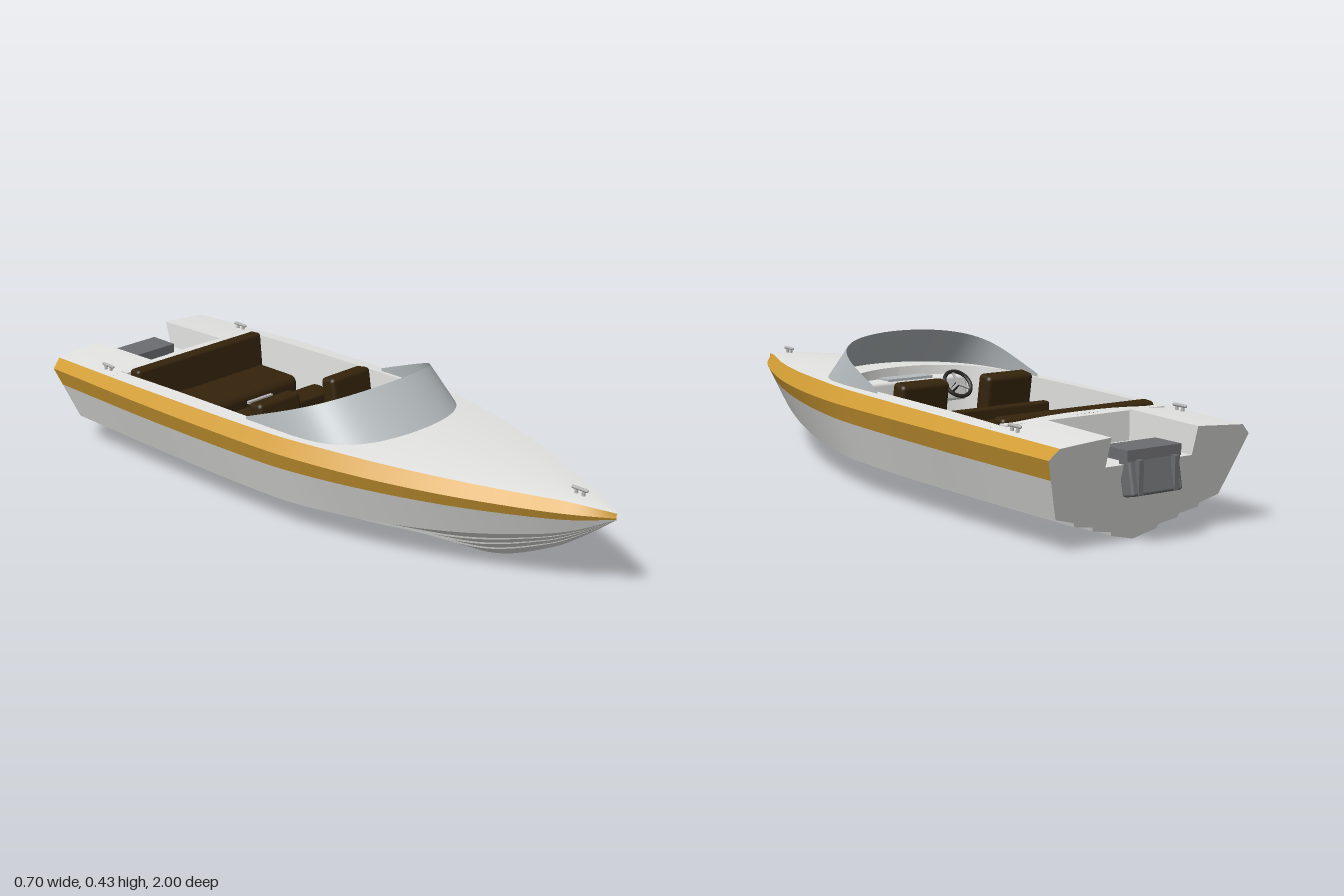
import * as THREE from 'three';
import { toCreasedNormals } from 'three/addons/utils/BufferGeometryUtils.js';
import { RoundedBoxGeometry } from 'three/addons/geometries/RoundedBoxGeometry.js';

const mat = (name, color, side = THREE.FrontSide) => {
  const m = new THREE.MeshStandardMaterial({ color, side });
  m.name = name;
  return m;
};

// Hull stations: z, rail half-beam, rail y, stripe bottom y, deck edge y, chine x, chine y, keel y
const ROWS = [
  [-0.9, 0.335, 0.255, 0.2, 0.283, 0.275, 0.09, 0],
  [-0.5, 0.35, 0.26, 0.205, 0.295, 0.285, 0.09, 0],
  [0, 0.342, 0.262, 0.21, 0.302, 0.28, 0.09, 0],
  [0.2, 0.318, 0.262, 0.214, 0.304, 0.25, 0.095, 0],
  [0.4, 0.272, 0.26, 0.218, 0.3, 0.205, 0.108, 0.001],
  [0.6, 0.207, 0.258, 0.222, 0.294, 0.145, 0.13, 0.018],
  [0.8, 0.122, 0.256, 0.229, 0.285, 0.075, 0.168, 0.105],
  [0.9, 0.07, 0.255, 0.235, 0.28, 0.038, 0.2, 0.172],
  [1, 0.004, 0.254, 0.25, 0.268, 0.002, 0.25, 0.249],
];
const slope = (i, c) => {
  const a = ROWS[Math.max(i - 1, 0)], b = ROWS[Math.min(i + 1, ROWS.length - 1)];
  return (b[c] - a[c]) / (b[0] - a[0]);
};
// Smooth interpolation of one station column
function at(z, c) {
  let i = 0;
  while (i < ROWS.length - 2 && z > ROWS[i + 1][0]) i++;
  const d = ROWS[i + 1][0] - ROWS[i][0], t = (z - ROWS[i][0]) / d, t2 = t * t, t3 = t2 * t;
  return ROWS[i][c] * (2 * t3 - 3 * t2 + 1) + slope(i, c) * d * (t3 - 2 * t2 + t)
    + ROWS[i + 1][c] * (3 * t2 - 2 * t3) + slope(i + 1, c) * d * (t3 - t2);
}
const deckX = z => at(z, 1) - 0.03 * Math.min(1, at(z, 1) / 0.1);
const deckY = (x, z) => at(z, 4) + 0.05 * deckX(z) * (1 - (x / deckX(z)) ** 2);
const rake = (y, z) => z - 0.28 * y * THREE.MathUtils.clamp((-0.72 - z) / 0.18, 0, 1);
const steps = (a, b, n) => Array.from({ length: n + 1 }, (_, i) => a + (b - a) * i / n);

// Skin over cross-sections, each a list of [x, y, z] points
function skinGeometry(sections, flip = false) {
  const n = sections[0].length, index = [];
  for (let j = 0; j < sections.length - 1; j++) for (let i = 0; i < n - 1; i++) {
    const a = j * n + i, b = a + 1, c = a + n, d = c + 1;
    index.push(...(flip ? [a, c, b, b, c, d] : [a, b, c, b, d, c]));
  }
  const g = new THREE.BufferGeometry();
  g.setAttribute('position', new THREE.Float32BufferAttribute(sections.flat(2), 3));
  g.setIndex(index);
  return toCreasedNormals(g, 0.5);
}

export function createModel() {
  const boat = new THREE.Group();
  boat.name = 'speedboat';
  const white = mat('white hull', 0xe4e4e2), gold = mat('gold stripe', 0xd09c34);
  const brown = mat('brown upholstery', 0x35240c), gray = mat('gray metal', 0x6c6d70);
  const glass = mat('windshield gray', 0xb6bcbf, THREE.DoubleSide);
  const chrome = mat('chrome', 0xb4b4b4), black = mat('black trim', 0x2a2725);

  const add = (name, geo, material, x = 0, y = 0, z = 0, parent = boat) => {
    const m = new THREE.Mesh(geo, material);
    m.name = name;
    m.position.set(x, y, z);
    parent.add(m);
    return m;
  };
  // A skin on the left side and its mirror image on the right
  const bothSides = (name, material, zs, section) => {
    for (const s of [1, -1]) {
      const rows = zs.map(z => section(z).map(([x, y]) => [s * x, y, rake(y, z)]));
      add(name + (s > 0 ? 'Left' : 'Right'), skinGeometry(rows, s < 0), material);
    }
  };

  // Hull: bottom with strakes, topsides, stripes either side of the rail
  const bottom = z => {
    const cx = at(z, 5), cy = at(z, 6), ky = at(z, 7), k = cx / 0.285, pts = [[0, ky]];
    for (const t of [0.28, 0.52, 0.76]) {
      const y = ky + (cy - ky) * t;
      pts.push([t * cx, y - 0.007 * k], [(t + 0.015) * cx, y + 0.005 * k]);
    }
    return [...pts, [cx, cy]];
  };
  const stripeLow = z => {
    const t = (at(z, 3) - at(z, 6)) / (at(z, 2) - at(z, 6));
    return [at(z, 5) + (at(z, 1) - at(z, 5)) * t, at(z, 3)];
  };
  const rail = z => [at(z, 1), at(z, 2)];
  const edge = z => [deckX(z), at(z, 4)];
  const hullZ = steps(-0.9, 1, 76);
  bothSides('hullBottom', white, hullZ, bottom);
  bothSides('hullSide', white, hullZ, z => [[at(z, 5), at(z, 6)], stripeLow(z)]);
  bothSides('lowerStripe', gold, hullZ, z => [stripeLow(z), rail(z)]);
  bothSides('upperStripe', gold, hullZ, z => [rail(z), edge(z)]);

  // Deck, cockpit sides and the stern well
  const floorY = 0.1, wellX = 0.145, wellY = 0.215;
  const cockpitX = z => z < 0 ? 0.27 : 0.27 * Math.sqrt(Math.max(0, 1 - (z / 0.2) ** 3));
  const deck = (z, inner) => steps(deckX(z), inner, 6).map(x => [x, deckY(x, z)]);
  const cockpitZ = [...steps(-0.68, 0, 20), ...steps(0.02, 0.18, 8), 0.187, 0.193, 0.197, 0.2];
  bothSides('foredeck', white, steps(0.2, 1, 32), z => deck(z, 0));
  bothSides('sideDeck', white, cockpitZ, z => [...deck(z, cockpitX(z)), [cockpitX(z), floorY]]);
  bothSides('cockpitFloor', brown, cockpitZ, z => [[cockpitX(z), floorY], [0, floorY]]);
  bothSides('aftDeck', white, [-0.71, -0.68], z => deck(z, 0));
  bothSides('sternDeck', white, steps(-0.9, -0.71, 8),
    z => [...deck(z, wellX), [wellX, wellY], [0, wellY]]);
  add('bulkhead', new THREE.BoxGeometry(0.54, 0.2, 0.03), white, 0, 0.198, -0.695);

  // Transom with the well cut out of its top
  const z0 = -0.9;
  const half = [...bottom(z0), stripeLow(z0), rail(z0), edge(z0), [wellX, deckY(wellX, z0)], [wellX, wellY]];
  const outline = [...half, ...half.slice(1).reverse().map(([x, y]) => [-x, y])];
  const transom = new THREE.ShapeGeometry(new THREE.Shape(outline.map(p => new THREE.Vector2(...p))));
  transom.rotateY(Math.PI);
  const tp = transom.attributes.position;
  for (let i = 0; i < tp.count; i++) tp.setZ(i, rake(tp.getY(i), z0));
  transom.computeVertexNormals();
  add('transom', transom, white);

  // Motor mount on the transom
  add('motorMountTop', new THREE.BoxGeometry(0.18, 0.03, 0.1), gray, 0, 0.24, -0.93);
  const mount = add('motorMountPlate', new RoundedBoxGeometry(0.17, 0.12, 0.045, 2, 0.008), gray, 0, 0.192, -0.964);
  mount.rotation.x = 0.2;
  for (const x of [-0.06, 0.06]) add('mountClamp', new THREE.BoxGeometry(0.015, 0.09, 0.016), gray, x, 0.185, -0.992);

  // Wraparound windshield
  const panes = steps(-1, 1, 64).map(s => {
    const a = Math.sign(s) * Math.PI / 2 * (1 - (1 - Math.abs(s)) ** 2.2);
    const c = Math.max(0, Math.cos(a)) ** 0.38, x = 0.285 * Math.sin(a), zb = -0.12 + 0.44 * c;
    const foot = [x, deckY(x, zb) - 0.004, zb];
    const top = [x * (1 - 0.07 * c), 0.312 + 0.118 * c, -0.12 + 0.32 * c];
    return [foot, top];
  });
  add('windshield', skinGeometry(panes), glass);

  // Dashboard, instrument panel and steering wheel
  add('dashboard', new RoundedBoxGeometry(0.42, 0.08, 0.1, 2, 0.012), white, 0, 0.247, 0.185);
  add('instrumentPanel', new THREE.BoxGeometry(0.16, 0.008, 0.05), glass, 0, 0.289, 0.165);
  const wheel = new THREE.Group();
  wheel.name = 'steeringWheel';
  wheel.position.set(-0.15, 0.265, 0.105);
  wheel.rotation.x = 0.7;
  boat.add(wheel);
  add('wheelRim', new THREE.TorusGeometry(0.045, 0.006, 8, 28), black, 0, 0, 0, wheel);
  for (let i = 0; i < 3; i++) {
    const spoke = add('wheelSpoke', new THREE.BoxGeometry(0.008, 0.045, 0.005), chrome, 0, 0, 0, wheel);
    spoke.geometry.translate(0, 0.0225, 0);
    spoke.rotation.z = i * Math.PI * 2 / 3;
  }
  const column = add('steeringColumn', new THREE.CylinderGeometry(0.008, 0.008, 0.06, 12), black, 0, 0, 0.03, wheel);
  column.rotation.x = Math.PI / 2;

  // Seats
  const cushion = (name, w, h, d, x, y, z, tilt = 0) => {
    add(name, new RoundedBoxGeometry(w, h, d, 3, Math.min(h, d) * 0.25), brown, x, y, z).rotation.x = tilt;
  };
  for (const x of [-0.15, 0.15]) {
    cushion('frontSeatCushion', 0.17, 0.08, 0.19, x, 0.145, -0.025);
    cushion('frontSeatBack', 0.165, 0.19, 0.055, x, 0.235, -0.13, -0.15);
  }
  cushion('middleBench', 0.48, 0.12, 0.14, 0, 0.16, -0.3);
  cushion('middleBenchBack', 0.48, 0.14, 0.03, 0, 0.18, -0.225);
  cushion('footwellStep', 0.52, 0.05, 0.09, 0, 0.12, -0.42);
  cushion('rearBenchCushion', 0.52, 0.11, 0.18, 0, 0.155, -0.55);
  cushion('rearBenchBack', 0.52, 0.2, 0.045, 0, 0.21, -0.652, -0.08);
  add('benchHandle', new THREE.BoxGeometry(0.1, 0.008, 0.012), chrome, 0, 0.222, -0.368);

  // Mooring cleats
  for (const [x, z] of [[0, 0.875], [0.28, -0.76], [-0.28, -0.76]]) {
    const y = deckY(x, z);
    const bar = add('cleatBar', new THREE.CapsuleGeometry(0.005, 0.045, 4, 10), chrome, x, y + 0.015, z);
    bar.rotation.x = Math.PI / 2;
    for (const dz of [-0.012, 0.012]) {
      add('cleatPost', new THREE.CylinderGeometry(0.004, 0.006, 0.02, 10), chrome, x, y + 0.005, z + dz);
    }
  }
  const filler = add('fuelFiller', new THREE.CylinderGeometry(0.007, 0.007, 0.045, 12), chrome, -0.1, 0.224, -0.82);
  filler.rotation.z = Math.PI / 2;
  return boat;
}
